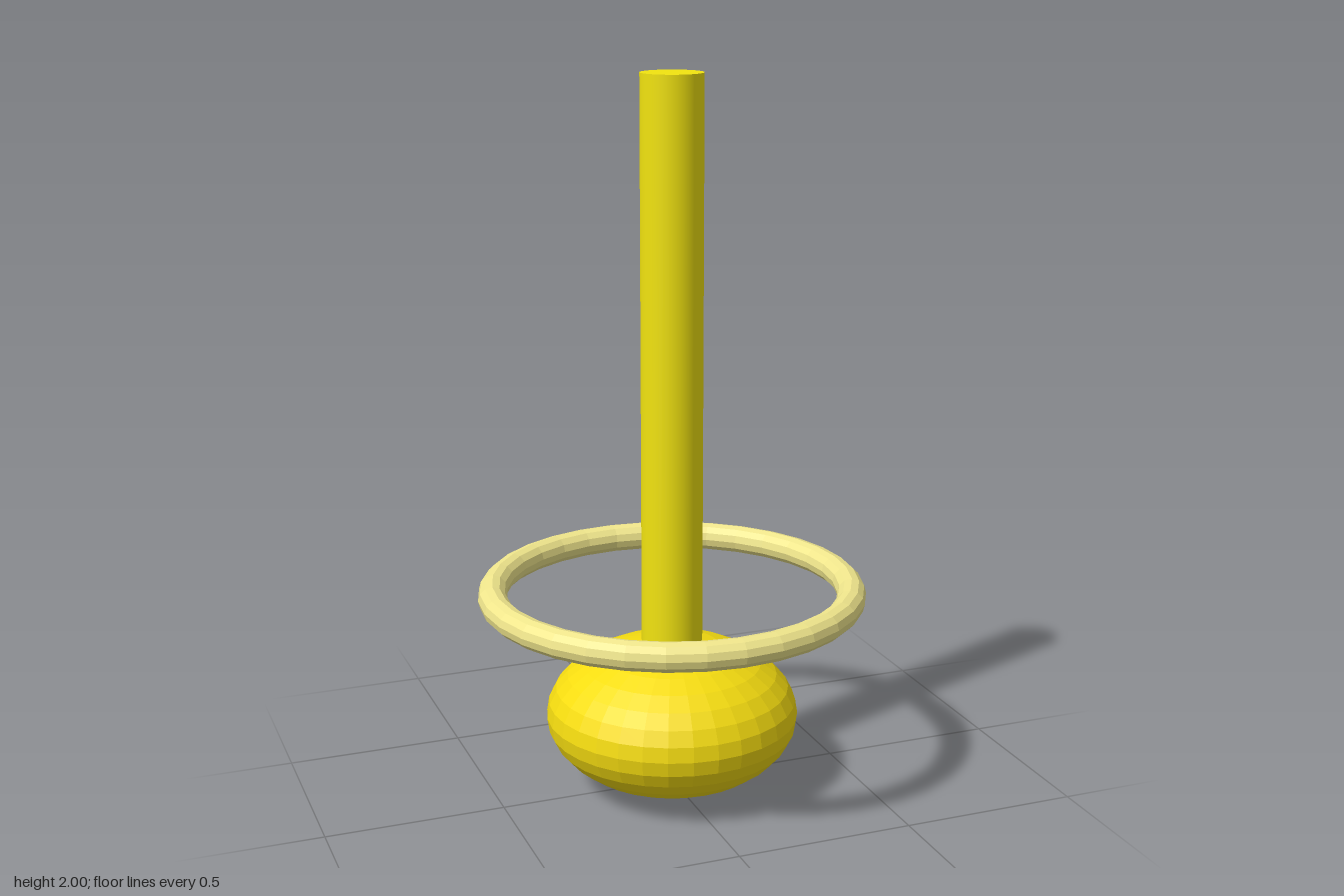
import * as THREE from 'three';

export function createModel() {
  const model = new THREE.Group();

  const add = (name, geometry, color, y, flatShading) => {
    const material = new THREE.MeshStandardMaterial({ color, flatShading });
    const mesh = new THREE.Mesh(geometry, material);
    mesh.name = name;
    mesh.position.y = y;
    model.add(mesh);
    return mesh;
  };

  // Flattened ball at the foot
  const ball = new THREE.SphereGeometry(0.355, 32, 16).scale(1, 0.6, 1);
  add('base', ball, 0xf5dc10, 0.213, true);

  // Rod rising from the middle of the ball
  const rodBottom = 0.22, rodTop = 2;
  const rod = new THREE.CylinderGeometry(0.085, 0.085, rodTop - rodBottom, 32);
  add('rod', rod, 0xf2e410, (rodBottom + rodTop) / 2, false);

  // Level ring floating around the rod
  const ring = new THREE.TorusGeometry(0.5, 0.04, 12, 32).rotateX(Math.PI / 2);
  add('ring', ring, 0xf0e68c, 0.575, true);

  return model;
}
